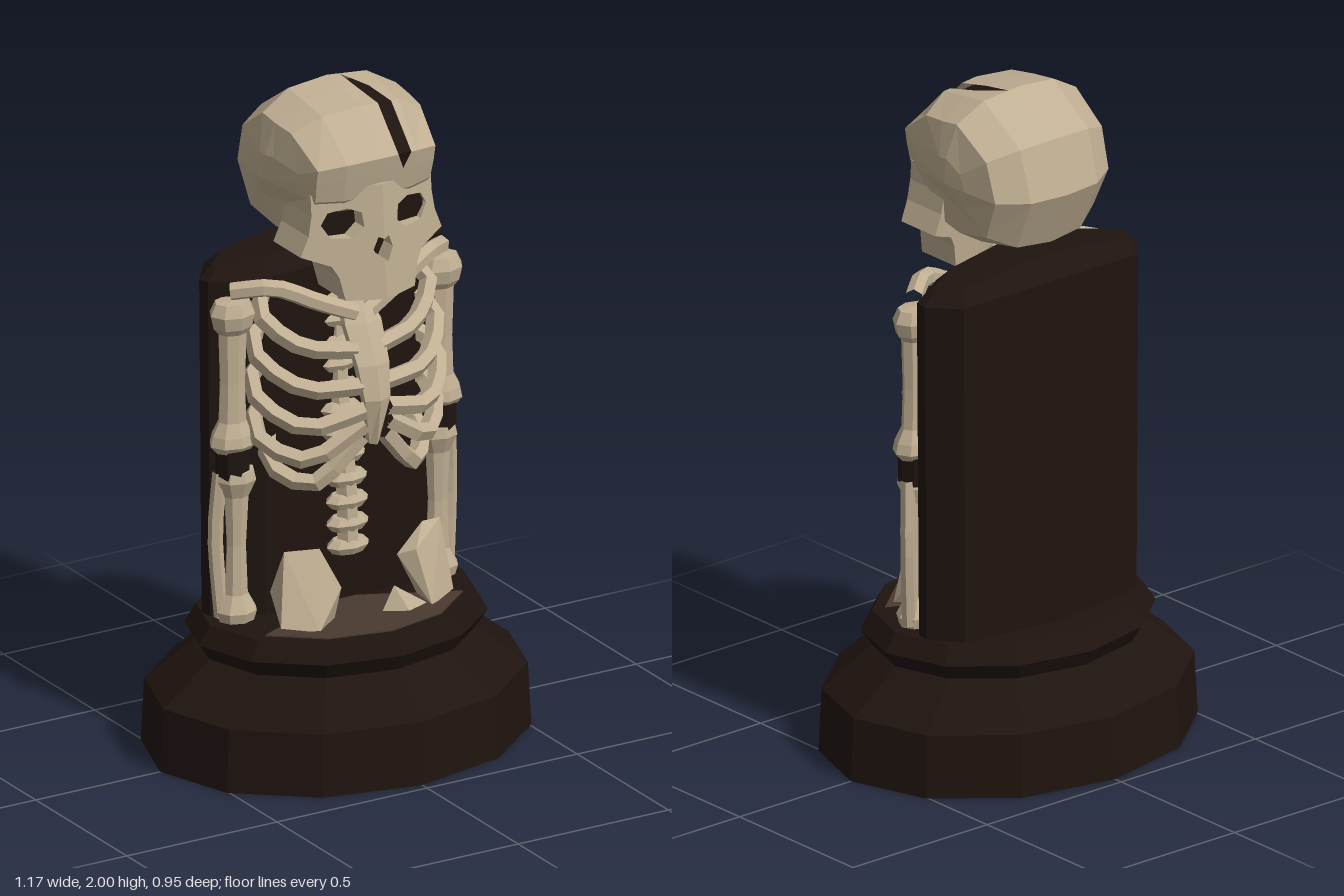
import * as THREE from 'three';
import { ConvexGeometry } from 'three/addons/geometries/ConvexGeometry.js';

const V = (x, y, z) => new THREE.Vector3(x, y, z);
const mat = (color, side = THREE.FrontSide) => new THREE.MeshStandardMaterial({ color, side, flatShading: true, roughness: 1 });
const bone = mat(0xbfae92);
const boneOpen = mat(0xbfae92, THREE.DoubleSide);
const dark = mat(0x1f140f);
const darkOpen = mat(0x1f140f, THREE.DoubleSide);
const ledge = mat(0x4a3a30);

function part(parent, name, geometry, material) {
  const mesh = new THREE.Mesh(geometry, material);
  mesh.name = name;
  parent.add(mesh);
  return mesh;
}

function fromTriangles(points) {
  const g = new THREE.BufferGeometry().setFromPoints(points);
  g.computeVertexNormals();
  return g;
}

const lathe = (profile, sides) => new THREE.LatheGeometry(profile.map(p => new THREE.Vector2(...p)), sides);

const tube = (pts, segments, r, sides = 6) =>
  new THREE.TubeGeometry(new THREE.CatmullRomCurve3(pts.map(p => V(...p))), segments, r, sides);

// Closed rings stacked upwards, with a fan on the last one
function loft(rings, top) {
  const t = [];
  rings.forEach((ring, i) => ring.forEach((a, j) => {
    const k = (j + 1) % ring.length, b = ring[k], up = rings[i + 1];
    if (up) t.push(a, b, up[k], a, up[k], up[j]);
    else t.push(top, a, b);
  }));
  return fromTriangles(t);
}

// Skull dome: stations run from the brow over the crown and underneath.
// Each is [z, y, crack start x, crack end x, width, roundness].
const stations = [
  [0.235, 1.73, 0.08, 0.08, 0.86, 0.5], [0.25, 1.80, 0.085, 0.085, 0.88, 0.5], [0.26, 1.85, 0.06, 0.11, 0.88, 0.5],
  [0.14, 1.97, 0.058, 0.105, 0.97, 0.9], [0.04, 1.988, 0.045, 0.085, 1, 1], [-0.05, 2.0, 0.04, 0.04, 1, 1],
  [-0.215, 1.89, 0.06, 0.06, 0.97, 1], [-0.262, 1.73, 0.06, 0.06, 0.95, 1], [-0.19, 1.565, 0.06, 0.06, 0.9, 1],
  [-0.02, 1.53, 0.06, 0.06, 0.86, 1], [0.1, 1.55, 0.06, 0.06, 0.84, 1]
];
const bulge = [[0, 1], [0.13, 0.95], [0.222, 0.74], [0.245, 0.32], [0.25, 0]];
function bulgeAt(x) {
  const a = Math.abs(x);
  const i = Math.max(1, bulge.findIndex(b => b[0] >= a));
  const [x0, f0] = bulge[i - 1], [x1, f1] = bulge[i];
  return f0 + (f1 - f0) * (a - x0) / (x1 - x0);
}
function dome(scale, cracked) {
  const cy = 1.75, t = [];
  const rows = stations.map(([z, y, c0, c1, width, power]) =>
    [-0.245, -0.222, -0.13, 0, c0, c1, 0.13, 0.222, 0.245].map(x => {
      const f = bulgeAt(x) ** power * scale;
      return V(x * width * scale, cy + (y - cy) * f, z * f);
    }));
  const poleL = V(0.245 * scale, cy, -0.01), poleR = V(-0.245 * scale, cy, -0.01);
  rows.forEach((row, i) => {
    const next = rows[(i + 1) % rows.length], n = row.length - 1;
    for (let j = 0; j < n; j++) {
      if (cracked && j === 4) continue;
      t.push(row[j], row[j + 1], next[j + 1], row[j], next[j + 1], next[j]);
    }
    t.push(poleL, next[n], row[n], poleR, row[0], next[0]);
  });
  return fromTriangles(t);
}

// Half of the face with its eye opening and half the nose, angled back from the centre
function halfFace(s) {
  const pts = list => list.map(([x, y]) => new THREE.Vector2(s * x, y));
  const shape = new THREE.Shape(pts([[0, 1.425], [0.115, 1.43], [0.13, 1.5], [0.15, 1.535], [0.235, 1.57], [0.21, 1.63],
    [0.2, 1.69], [0.2, 1.75], [0, 1.77], [0, 1.605], [0.017, 1.612], [0.032, 1.575], [0.012, 1.535], [0, 1.545]]));
  shape.holes.push(new THREE.Path(pts([[0.055, 1.645], [0.06, 1.69], [0.1, 1.705], [0.155, 1.695],
    [0.175, 1.66], [0.15, 1.62], [0.09, 1.615]])));
  const g = new THREE.ExtrudeGeometry(shape, { depth: 0.15, bevelEnabled: false });
  const p = g.attributes.position;
  for (let i = 0; i < p.count; i++) {
    p.setZ(i, p.getZ(i) + 0.118 - 0.33 * Math.abs(p.getX(i)) - (p.getY(i) - 1.6) * 0.08);
  }
  g.computeVertexNormals();
  return g;
}

export function createModel() {
  const model = new THREE.Group();

  // Oval stepped base
  const base = part(model, 'base', lathe([[0, 0], [0.585, 0], [0.575, 0.19], [0.42, 0.31], [0.455, 0.36], [0.42, 0.415], [0, 0.415]], 12), dark);
  base.scale.z = 0.81;
  const top = part(model, 'baseTop', new THREE.CylinderGeometry(0.38, 0.38, 0.01, 4, 1, false, -Math.PI / 3, Math.PI * 2 / 3), ledge);
  top.scale.z = 0.81;
  top.position.y = 0.414;

  // Upright back slab with a bevelled, slightly arched top
  const outline = [[-0.39, -0.06], [-0.25, 0.02], [0, 0.025], [0.25, 0.02], [0.39, -0.06], [0.395, -0.1],
    [0.325, -0.19], [0, -0.235], [-0.325, -0.19], [-0.395, -0.1]];
  const ring = (y, arch, width, depth) => outline.map(([x, z]) =>
    V(x * width, y - arch * Math.abs(x), -0.1 + (z + 0.1) * depth));
  part(model, 'backSlab', loft([ring(0.4, 0, 0.98, 1), ring(1.465, 0.07, 1, 1), ring(1.53, 0.14, 0.9, 0.62)],
    V(0, 1.53, -0.1)), dark);

  // Skull
  const skull = new THREE.Group();
  skull.name = 'skull';
  model.add(skull);
  part(skull, 'cranium', dome(1, true), boneOpen);
  part(skull, 'craniumInside', dome(0.93, false), darkOpen);
  part(skull, 'eyeSocketInside', new THREE.BoxGeometry(0.34, 0.12, 0.06), dark).position.set(0, 1.66, 0.165);
  part(skull, 'noseInside', new THREE.BoxGeometry(0.12, 0.1, 0.06), dark).position.set(0, 1.57, 0.18);
  part(skull, 'leftFace', halfFace(1), bone);
  part(skull, 'rightFace', halfFace(-1), bone);

  // Spine: flared vertebrae on a core
  const spine = new THREE.Group();
  spine.name = 'spine';
  model.add(spine);
  const spinePath = [[0, 0.6, 0.065], [0, 0.8, 0.055], [0, 1.0, 0.02], [0, 1.3, 0.0], [0, 1.55, 0.01]];
  const spineCurve = new THREE.CatmullRomCurve3(spinePath.map(p => V(...p)));
  part(spine, 'spineCore', tube(spinePath, 14, 0.034), bone);
  for (let i = 0; i < 15; i++) {
    const v = part(spine, 'vertebra', lathe([[0, -0.024], [0.05, -0.022], [0.07, 0], [0.05, 0.02], [0, 0.024]], 8), bone);
    v.position.copy(spineCurve.getPointAt(i / 14));
    v.scale.z = 0.6;
  }

  // Breastbone tapering down to a point
  const sternum = [[0.96, 0.015, 0.215], [1.1, 0.042, 0.235], [1.2, 0.052, 0.212], [1.31, 0.06, 0.155], [1.39, 0.04, 0.1]];
  part(model, 'sternum', loft(sternum.map(([y, w, z]) =>
    [[-w, z - 0.03], [-w, z - 0.005], [0, z + 0.012], [w, z - 0.005], [w, z - 0.03]].map(p => V(p[0], y, p[1]))),
    V(0, 1.39, 0.09)), boneOpen);

  // Ribs: [outer x, back y, side y, low front y, end y, front z]
  const ribs = [
    [0.28, 1.4, 1.36, 1.265, 1.24, 0.18], [0.3, 1.31, 1.25, 1.15, 1.14, 0.21],
    [0.305, 1.2, 1.13, 1.035, 1.07, 0.225], [0.295, 1.09, 1.0, 0.935, 1.03, 0.225],
    [0.25, 0.98, 0.9, 0.85, 0.99, 0.21]
  ];
  for (const s of [1, -1]) {
    const side = s > 0 ? 'left' : 'right';
    const cage = new THREE.Group();
    cage.name = side + 'Ribs';
    model.add(cage);
    for (const [x, yb, ys, yf, ye, z] of ribs) {
      part(cage, 'rib', tube([[s * 0.03, yb, -0.01], [s * x * 0.75, yb, -0.02], [s * x, ys, 0.04],
        [s * x * 0.68, yf, z - 0.06], [s * 0.035, ye, z - 0.01]], 10, 0.028, 5), bone);
    }

    // Collarbone
    part(model, side + 'Collarbone', tube([[s * 0.35, 1.425, 0.0], [s * 0.25, 1.44, 0.075],
      [s * 0.13, 1.385, 0.11], [s * 0.02, 1.34, 0.14]], 8, 0.027), bone);

    // Arm: upper bone, dark joint and paired lower bones
    const arm = new THREE.Group();
    arm.name = side + 'Arm';
    model.add(arm);
    const upper = part(arm, 'upperArm', lathe([[0, 0.93], [0.05, 0.935], [0.072, 0.96], [0.065, 0.99], [0.044, 1.03], [0.04, 1.15],
      [0.045, 1.3], [0.062, 1.32], [0.072, 1.36], [0.055, 1.395], [0, 1.4]], 8), bone);
    upper.position.x = s * 0.345;
    upper.scale.z = 0.8;
    part(arm, 'elbowJoint', new THREE.CylinderGeometry(0.05, 0.05, 0.09, 8), dark).position.set(s * 0.345, 0.905, 0);
    const lower = part(arm, 'forearm', lathe([[0, 0.415], [0.055, 0.42], [0.064, 0.45], [0.036, 0.5], [0.03, 0.65],
      [0.038, 0.8], [0.062, 0.85], [0.055, 0.88], [0, 0.885]], 8), bone);
    lower.position.set(s * 0.335, 0, 0.005);
    lower.scale.z = 0.85;
    part(arm, 'outerForearm', tube([[s * 0.38, 0.875, -0.01], [s * 0.39, 0.68, -0.02], [s * 0.375, 0.43, -0.01]], 6, 0.022), bone);
  }

  // Broken hip bones resting on the base
  const hull = (name, pts) => part(model, name, new ConvexGeometry(pts.map(p => V(...p))), bone);
  hull('rightHip', [[-0.24, 0.64, 0.11], [-0.14, 0.64, 0.14], [-0.085, 0.52, 0.17], [-0.09, 0.415, 0.14], [-0.18, 0.415, 0.21],
    [-0.28, 0.43, 0.16], [-0.25, 0.5, 0.05], [-0.15, 0.6, 0.07]]);
  hull('leftHip', [[0.22, 0.64, 0.11], [0.28, 0.64, 0.11], [0.28, 0.54, 0.06], [0.3, 0.43, 0.15], [0.21, 0.415, 0.1],
    [0.13, 0.56, 0.12], [0.17, 0.58, 0.16], [0.2, 0.415, 0.2]]);
  hull('hipFragment', [[0.05, 0.415, 0.17], [0.09, 0.49, 0.17], [0.11, 0.415, 0.1], [0.2, 0.415, 0.18], [0.12, 0.415, 0.21]]);

  return model;
}
